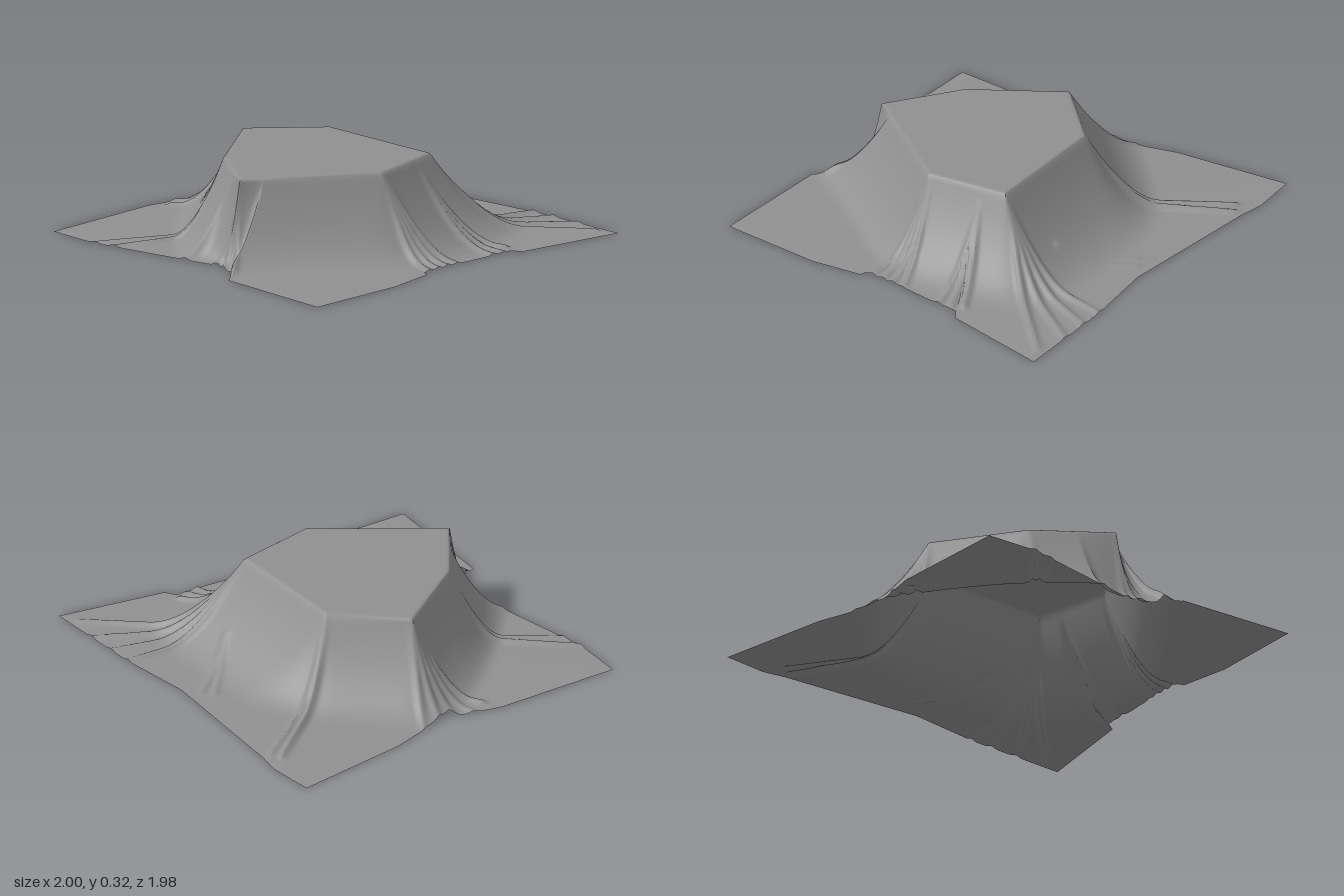
import * as THREE from 'three';

const HEIGHT = 0.325;
const CENTRE = [-0.05, 0.05];

// Table top corners and, for the edge starting at each, how far the cloth flares (x, z, flare)
const TOP = [
  [-0.15, -0.29, 0.37], [0.34, -0.1, 0.35], [0.27, 0.22, 0.26],
  [-0.19, 0.52, 0.25], [-0.37, 0.24, 0.26], [-0.45, -0.15, 0.33],
];

// Hem of the cloth on the floor (x, z)
const HEM = [
  [-0.51, -0.99], [-0.33, -0.935], [-0.24, -0.88], [0.3, -0.61], [0.6, -0.53],
  [1, -0.38], [0.76, -0.01], [0.71, 0], [0.65, 0.13], [0.585, 0.25],
  [0.52, 0.4], [0.54, 0.42], [0.49, 0.62], [0.32, 0.99], [-0.13, 0.78],
  [-0.15, 0.69], [-0.24, 0.61], [-0.8, 0.5], [-1, 0.41],
  [-0.8, -0.06], [-0.7, -0.2], [-0.66, -0.22], [-0.63, -0.53],
];

// Fans of folds: x, z, first and last direction in degrees, count, length, height
const FANS = [
  [-0.16, -0.31, -105, -100, 2, 0.55, 0.024],
  [0.3, -0.3, -115, -105, 2, 0.3, 0.01],
  [0.36, -0.13, -60, -24, 4, 0.6, 0.02],
  [0.36, 0, -4, 14, 3, 0.32, 0.022],
  [0.28, 0.21, 5, 33, 4, 0.3, 0.022],
  [-0.19, 0.52, 75, 125, 3, 0.2, 0.025],
  [-0.38, 0.26, 142, 150, 2, 0.5, 0.018],
  [-0.45, -0.15, 165, 228, 5, 0.28, 0.02],
];

const angleOf = ([x, z]) => Math.atan2(z - CENTRE[1], x - CENTRE[0]);

// Distance from the centre to an outline along one direction
function reach(outline, angle) {
  const c = Math.cos(angle), s = Math.sin(angle);
  let best = 0;
  outline.forEach((p, i) => {
    const q = outline[(i + 1) % outline.length];
    const px = p[0] - CENTRE[0], pz = p[1] - CENTRE[1];
    const ex = q[0] - p[0], ez = q[1] - p[1];
    const det = c * ez - s * ex;
    if (Math.abs(det) < 1e-9) return;
    const k = (px * s - pz * c) / det;
    const dist = (px * ez - pz * ex) / det;
    if (k > -1e-6 && k < 1 + 1e-6 && dist > best) best = dist;
  });
  return best;
}

// How far down the flare a point lies: 0 at the table edge, 1 at the floor, rounded at corners
function flareAt(x, z) {
  let sum = 0;
  TOP.forEach(([ax, az, flare], i) => {
    const [bx, bz] = TOP[(i + 1) % TOP.length];
    const ex = bx - ax, ez = bz - az;
    const u = ((x - ax) * ez - (z - az) * ex) / Math.hypot(ex, ez) / flare;
    sum += Math.max(0, u) ** 4;
  });
  return sum ** 0.25;
}

// Height of the tallest fold ridge at a point
function foldAt(x, z) {
  let top = 0;
  for (const [x0, z0, from, to, count, length, height] of FANS) {
    for (let i = 0; i < count; i++) {
      const a = THREE.MathUtils.degToRad(from + ((to - from) * i) / (count - 1));
      const dx = x - x0, dz = z - z0;
      const along = THREE.MathUtils.clamp(dx * Math.cos(a) + dz * Math.sin(a), 0, length);
      const d = Math.hypot(dx - along * Math.cos(a), dz - along * Math.sin(a)) / 0.015;
      top = Math.max(top, height * Math.exp(-d * d));
    }
  }
  return top;
}

function clothHeight(x, z, drop, t) {
  const slope = HEIGHT * Math.max(0, 1 - drop) ** 2;
  const floor = 0.003 + 0.011 * (1 - t);
  const fold = foldAt(x, z) * Math.min(1, drop * 2.5) * (1 - 0.6 * t * t);
  return Math.min(HEIGHT, Math.hypot(slope, floor) + fold);
}

function clothGeometry() {
  // Directions round the cloth, with one exactly through every corner
  const angles = [...TOP, ...HEM].map(angleOf);
  for (let i = 0; i < 560; i++) angles.push(-Math.PI + (i / 560) * Math.PI * 2);
  angles.sort((a, b) => a - b);
  const spokes = angles.map((a) => ({ c: Math.cos(a), s: Math.sin(a), r: reach(TOP, a), R: reach(HEM, a) }));
  const n = spokes.length, steps = 56, topRings = [0.5, 0.95, 0.985];
  const pos = [CENTRE[0], HEIGHT, CENTRE[1]], index = [];

  // Flat top
  for (const k of topRings) {
    for (const { c, s, r } of spokes) pos.push(CENTRE[0] + c * r * k, HEIGHT, CENTRE[1] + s * r * k);
  }
  // Draped rings from table edge to hem, falling more steeply where the cloth is short
  for (let j = 0; j <= steps; j++) {
    const t = j / steps;
    for (const { c, s, r, R } of spokes) {
      const rho = r + (R - r) * t;
      const x = CENTRE[0] + c * rho, z = CENTRE[1] + s * rho;
      const short = 1 - THREE.MathUtils.smoothstep(R - r, 0.18, 0.32);
      const drop = Math.max(flareAt(x, z), t * short);
      pos.push(x, j === 0 ? HEIGHT - 0.004 : clothHeight(x, z, drop, t), z);
    }
  }

  const bands = topRings.length + steps;
  for (let i = 0; i < n; i++) {
    const k = (i + 1) % n;
    index.push(0, 1 + k, 1 + i);
    for (let j = 0; j < bands; j++) {
      const a = 1 + j * n + i, b = 1 + j * n + k;
      index.push(a, b, a + n, b, b + n, a + n);
    }
  }
  const g = new THREE.BufferGeometry();
  g.setAttribute('position', new THREE.Float32BufferAttribute(pos, 3));
  g.setIndex(index);
  g.computeVertexNormals();
  return g;
}

export function createModel() {
  const group = new THREE.Group();
  group.name = 'drapedCloth';
  const grey = new THREE.MeshStandardMaterial({ color: 0x909090, side: THREE.DoubleSide });
  grey.name = 'grey cloth';
  const cloth = new THREE.Mesh(clothGeometry(), grey);
  cloth.name = 'cloth';
  group.add(cloth);
  return group;
}
